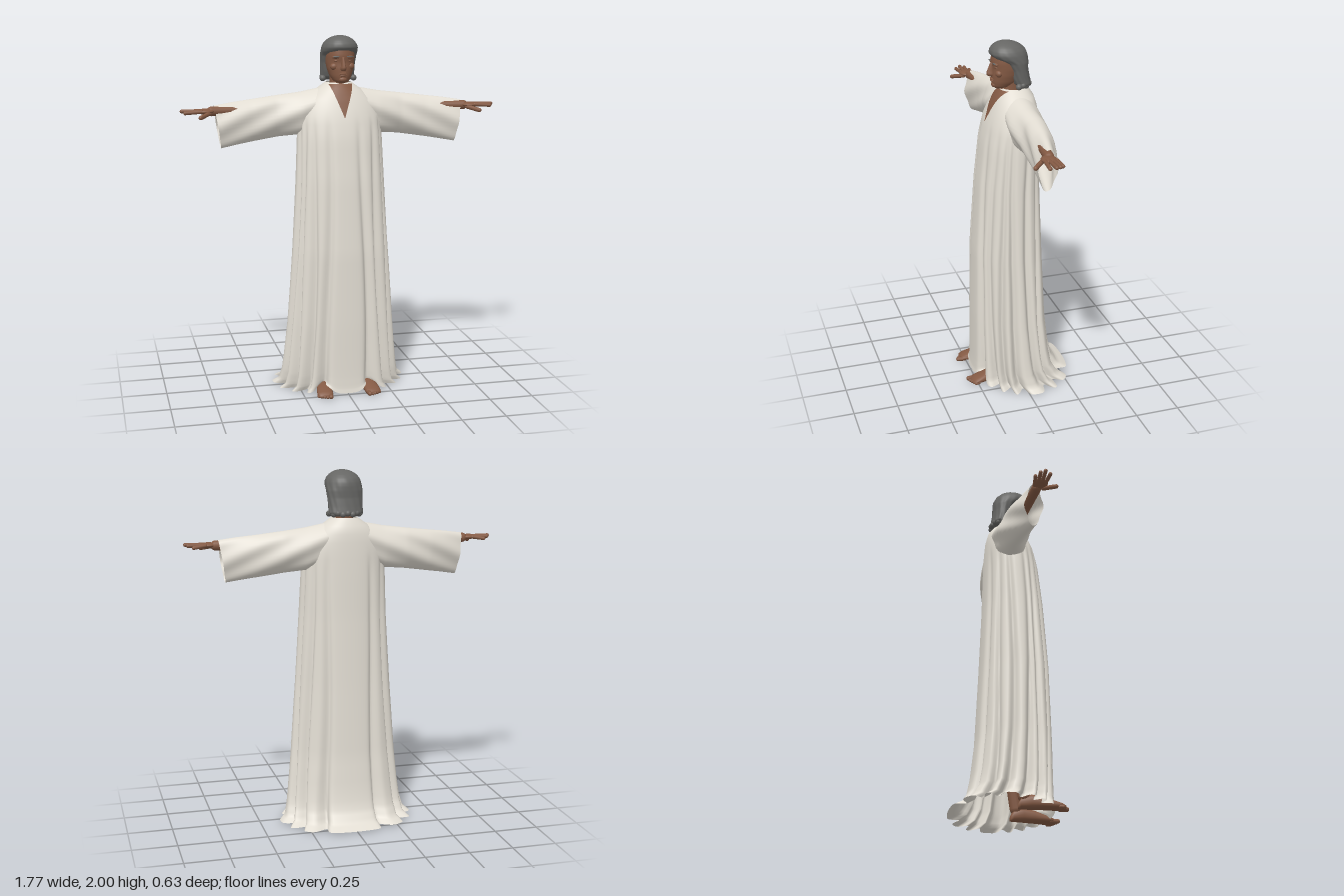
import * as THREE from 'three';

const mat = (name, color, side = THREE.FrontSide) => {
  const m = new THREE.MeshStandardMaterial({ color, side });
  m.name = name;
  return m;
};

// Linear lookup in rows of [key, a, b, ...]
function lookup(rows, k) {
  let i = 0;
  while (i < rows.length - 2 && k > rows[i + 1][0]) i++;
  const a = rows[i], b = rows[i + 1];
  const t = THREE.MathUtils.clamp((k - a[0]) / (b[0] - a[0]), 0, 1);
  return a.map((v, n) => v + (b[n] - v) * t);
}

// Skin a list of closed rings, optionally capping both ends
function loft(rings, capped = false) {
  const n = rings[0].length, pos = [], idx = [];
  rings.forEach(r => r.forEach(p => pos.push(p[0], p[1], p[2])));
  for (let i = 0; i < rings.length - 1; i++) {
    for (let j = 0; j < n; j++) {
      const a = i * n + j, b = i * n + (j + 1) % n;
      idx.push(a, b, a + n, b, b + n, a + n);
    }
  }
  if (capped) {
    [0, rings.length - 1].forEach(i => {
      const c = pos.length / 3;
      for (let k = 0; k < 3; k++) pos.push(rings[i].reduce((s, p) => s + p[k], 0) / n);
      for (let j = 0; j < n; j++) {
        const a = i * n + j, b = i * n + (j + 1) % n;
        if (i === 0) idx.push(c, b, a); else idx.push(c, a, b);
      }
    });
  }
  const g = new THREE.BufferGeometry();
  g.setAttribute('position', new THREE.Float32BufferAttribute(pos, 3));
  g.setIndex(idx);
  g.computeVertexNormals();
  return g;
}

const ringOf = (n, f) => Array.from({ length: n }, (_, j) => f(j / n * Math.PI * 2));
const spow = (v, p) => Math.sign(v) * Math.abs(v) ** p;

// Upright loft from rows of [y, halfWidth, zFront, zBack]
function upright(rows, n, steps, p, ripple = () => 0) {
  const y0 = rows[0][0], y1 = rows[rows.length - 1][0], rings = [];
  for (let i = 0; i <= steps; i++) {
    const [y, w, zf, zb] = lookup(rows, y0 + (y1 - y0) * i / steps);
    rings.push(ringOf(n, a => {
      const k = 1 + ripple(a, y);
      return [w * k * spow(Math.sin(a), p), y, (zf + zb) / 2 + (zf - zb) / 2 * k * spow(Math.cos(a), p)];
    }));
  }
  return loft(rings, true);
}

function ball(x, y, z, rx, ry, rz) {
  return new THREE.SphereGeometry(1, 18, 12).scale(rx, ry, rz).translate(x, y, z);
}

// Rounded limb from a to b, flattened in height by flat
function limb(a, b, r, flat = 1) {
  const A = new THREE.Vector3(...a), d = new THREE.Vector3(...b).sub(A), len = d.length();
  const g = new THREE.CapsuleGeometry(r, Math.max(len - 2 * r, 0.001), 5, 12);
  const q = new THREE.Quaternion().setFromUnitVectors(new THREE.Vector3(0, 1, 0), d.clone().normalize());
  const mid = A.addScaledVector(d, 0.5);
  return g.applyQuaternion(q).scale(1, flat, 1).translate(mid.x, mid.y, mid.z);
}

// Copy across x = 0, with the corner order reversed
function mirrored(geo) {
  const g = geo.clone().scale(-1, 1, 1), ix = g.index;
  for (let i = 0; i < ix.count; i += 3) {
    const t = ix.getX(i);
    ix.setX(i, ix.getX(i + 2));
    ix.setX(i + 2, t);
  }
  g.computeVertexNormals();
  return g;
}

// Gown: y, half width, front z, back z, fold depth
const GOWN = [
  [0, .385, .245, -.32, .2], [.03, .352, .24, -.265, .19], [.1, .337, .237, -.222, .17],
  [.2, .326, .236, -.202, .15], [.4, .306, .235, -.18, .13], [.8, .277, .226, -.162, .11],
  [1.2, .252, .197, -.147, .08], [1.45, .24, .168, -.142, .05], [1.56, .228, .142, -.138, 0],
  [1.65, .19, .108, -.132, 0], [1.69, .145, .088, -.124, 0], [1.72, .098, .07, -.112, 0], [1.742, .07, .052, -.092, 0]];
const VALLEYS = [.36, .72, 1.08, 1.36, 1.8, 2.2, 2.66];
const P = .9;

function gownGeometry() {
  const levels = [0, .01, .02, .03, .05, .075, .1, .15, .2];
  for (let y = .26; y < 1.74; y += .045) levels.push(y);
  levels.push(1.742);
  return loft(levels.map(h => {
    const [, w, zf, zb, depth] = lookup(GOWN, h);
    return ringOf(176, a => {
      const t = a > Math.PI ? a - 2 * Math.PI : a;
      let fold = 0;
      VALLEYS.forEach((v, i) => {
        const c = v + .04 * Math.sin(h * 3.2 + i * 2 + (t < 0 ? 1 : 0));
        fold += Math.exp(-(((Math.abs(t) - c) / .085) ** 2));
      });
      const k = 1 - depth * fold;
      const x = w * k * spow(Math.sin(a), P);
      const z = (zf + zb) / 2 + (zf - zb) / 2 * k * spow(Math.cos(a), P);
      // Hem rises over the feet
      const lift = z > 0 ? .05 * Math.exp(-(((Math.abs(x) - .135) / .05) ** 2) - h / .1) : 0;
      return [x, h + .008 * Math.exp(-h / .1) + lift, z];
    });
  }));
}

// V-neck skin panel following the front of the gown
function chestGeometry() {
  const g = new THREE.PlaneGeometry(1, 1, 12, 16), p = g.attributes.position;
  for (let i = 0; i < p.count; i++) {
    const v = p.getY(i) + .5, y = 1.555 + .18 * v, x = p.getX(i) * 2 * .067 * v;
    const [, w, zf, zb] = lookup(GOWN, y);
    const s = Math.min(Math.abs(x) / w, 1) ** (1 / P);
    p.setXYZ(i, x, y, (zf + zb) / 2 + (zf - zb) / 2 * Math.sqrt(1 - s * s) ** P + .006);
  }
  g.computeVertexNormals();
  return g;
}

// Sleeve: x, top y, bottom y, back z, front z
const SLEEVE = [[.1, 1.713, 1.5, -.115, .078], [.22, 1.69, 1.455, -.115, .078], [.35, 1.674, 1.445, -.105, .056],
  [.5, 1.656, 1.425, -.078, .054], [.6, 1.645, 1.411, -.052, .06], [.7, 1.63, 1.395, -.025, .066]];

function sleeveGeometry() {
  const rings = [];
  for (let i = 0; i <= 36; i++) {
    const [x, yt, yb, zb, zf] = lookup(SLEEVE, .1 + .6 * i / 36);
    const slant = .035 * Math.max(0, (x - .3) / .4);
    rings.push(ringOf(40, a => {
      const c = Math.cos(a), s = Math.sin(a), y = (yt + yb) / 2 + (yt - yb) / 2 * c;
      const drape = .008 * Math.sin(x * 22 + y * 45) * Math.abs(s);
      return [x - slant * (1 - c) / 2, y, (zf + zb) / 2 + ((zf - zb) / 2 + drape) * s];
    }));
  }
  return loft(rings);
}

// Foot along z: z, half width, height
const FOOT = [[.03, .014, .03], [.045, .028, .06], [.1, .033, .08], [.16, .038, .07], [.22, .045, .048], [.26, .044, .034], [.28, .034, .022]];

function footGeometry() {
  return loft(FOOT.map(([z, w, h]) => ringOf(20, a =>
    [-w * Math.sin(a), h / 2 * (1 + spow(Math.cos(a), .8)) + .002, z])), true);
}

export function createModel() {
  const model = new THREE.Group();
  const cloth = mat('cream cloth', 0xe2ddd3, THREE.DoubleSide);
  const skin = mat('brown skin', 0x845a44);
  const hair = mat('grey hair', 0x666664);
  const add = (name, geo, m) => {
    const mesh = new THREE.Mesh(geo, m);
    mesh.name = name;
    model.add(mesh);
  };
  const pair = (name, geo, m) => {
    add('left' + name, geo, m);
    add('right' + name, mirrored(geo), m);
  };

  add('gown', gownGeometry(), cloth);
  add('chest', chestGeometry(), skin);
  pair('Sleeve', sleeveGeometry(), cloth);

  // Neck and head
  add('neck', upright([[1.66, .062, .065, -.06], [1.72, .052, .058, -.06], [1.8, .052, .055, -.06]], 24, 6, 1), skin);
  add('head', upright([[1.744, .024, .09, .04], [1.752, .042, .1, .0], [1.78, .06, .106, -.04], [1.82, .073, .107, -.06],
    [1.855, .079, .104, -.07], [1.89, .08, .109, -.07], [1.93, .078, .104, -.07], [1.97, .05, .07, -.04]], 36, 24, .95), skin);
  add('nose', upright([[1.812, .012, .126, .08], [1.822, .018, .137, .08], [1.835, .013, .135, .08],
    [1.885, .008, .114, .08]], 16, 8, 1), skin);
  add('upperLip', ball(0, 1.796, .104, .025, .005, .011), skin);
  add('lowerLip', ball(0, 1.786, .103, .021, .006, .011), skin);
  add('chin', ball(0, 1.763, .092, .024, .016, .017), skin);
  pair('Brow', ball(.034, 1.884, .093, .028, .009, .014), skin);
  pair('Eyebrow', ball(.036, 1.887, .101, .022, .004, .008), hair);
  pair('Eye', ball(.034, 1.864, .087, .015, .008, .012), skin);
  pair('Cheek', ball(.045, 1.833, .078, .023, .02, .02), skin);

  // Swept-back hair with curls at the nape
  add('hair', upright([[1.752, .076, -.03, -.096], [1.768, .096, .0, -.106], [1.8, .096, .015, -.1], [1.85, .098, .03, -.092],
    [1.89, .101, .055, -.092], [1.915, .101, .1, -.091], [1.935, .099, .118, -.087], [1.955, .091, .115, -.077],
    [1.975, .074, .1, -.056], [1.99, .05, .08, -.026], [1.998, .026, .055, .002], [2, .01, .04, .016]], 64, 40, .95,
  (a, y) => .014 * Math.sin(a * 14 + y * 40) * Math.min(1, (2 - y) * 8)), hair);
  for (let i = 0; i < 11; i++) {
    const a = Math.PI * (.5 + i / 10);
    add('napeCurl', ball(.088 * Math.sin(a + Math.PI / 2 - Math.PI / 2), 1.762 + .006 * (i % 2), -.02 + .078 * Math.cos(a), .017, .017, .017), hair);
  }

  // Forearms and hands, palms down
  pair('Forearm', limb([.4, 1.6, 0], [.74, 1.6, .032], .027), skin);
  pair('Palm', ball(.752, 1.602, .042, .052, .015, .041), skin);
  const fingers = [[.012, .845, -.002, 1.592], [.03, .872, .022, 1.602], [.05, .886, .046, 1.606], [.068, .87, .075, 1.598]];
  fingers.forEach(([z0, x1, z1, y1]) => pair('Finger', limb([.76, 1.604, z0], [x1, y1, z1], .0105), skin));
  pair('Thumb', limb([.72, 1.595, .055], [.79, 1.575, .13], .012), skin);

  // Feet, turned slightly outward
  const place = g => g.rotateY(.1).translate(.112, 0, .004);
  pair('Foot', place(footGeometry()), skin);
  for (let i = 0; i < 5; i++) {
    const r = i ? .009 : .013, x = -.029 + i * .0155 + (i ? .003 : 0);
    pair('Toe', place(limb([x, r + .002, .24], [x, r + .002, .303 - i * .007], r)), skin);
  }
  pair('Ankle', limb([.12, .04, .07], [.11, .3, .03], .034), skin);
  return model;
}
